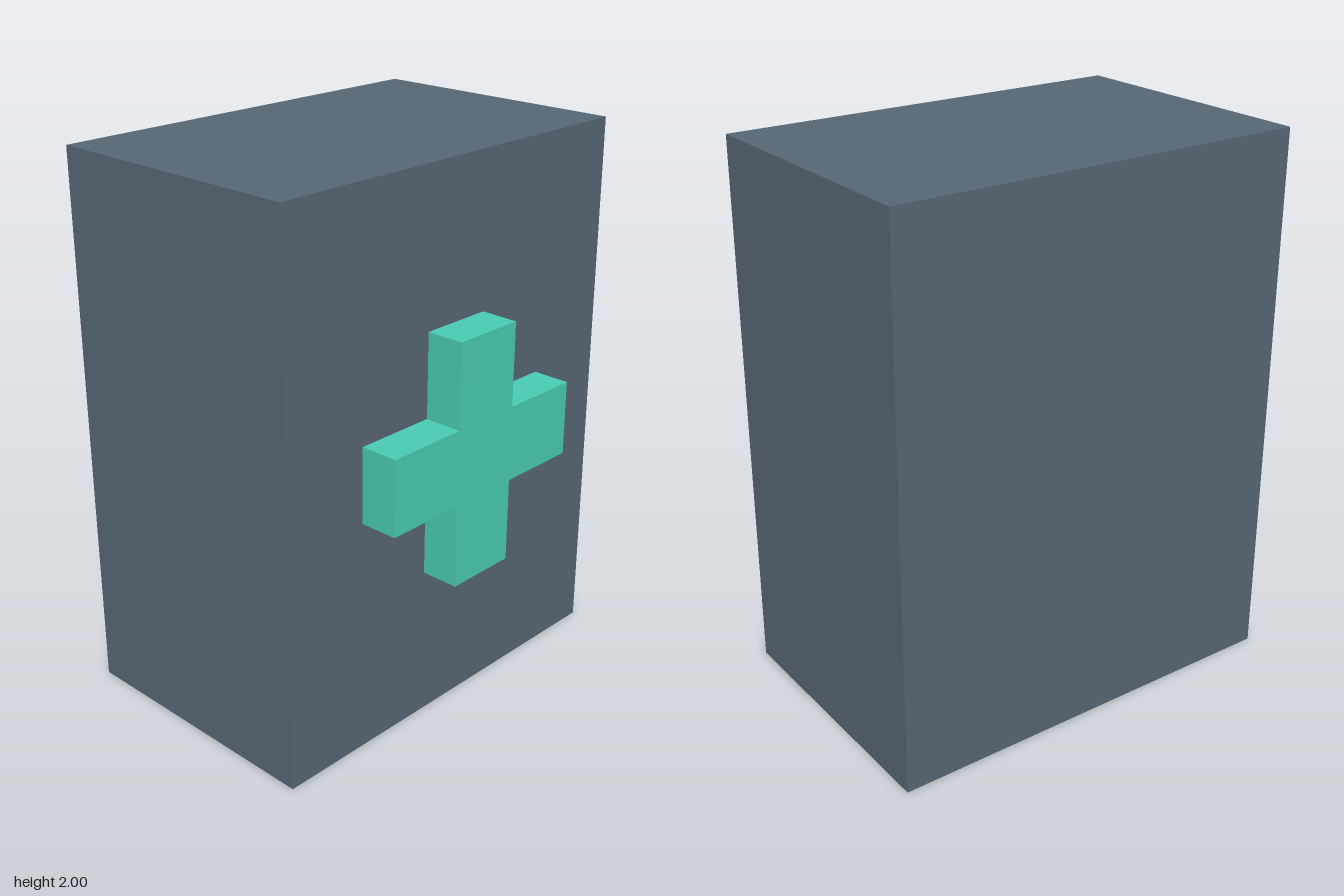
import * as THREE from 'three';

export function createModel() {
  const model = new THREE.Group();
  model.name = 'cabinet';

  const slate = new THREE.MeshStandardMaterial({ color: 0x566573 });
  slate.name = 'slate grey';
  const teal = new THREE.MeshStandardMaterial({ color: 0x48c9b0 });
  teal.name = 'teal green';

  // Cabinet body, set back so the emblem fits in the overall depth
  const body = new THREE.Mesh(new THREE.BoxGeometry(1.555, 2, 1), slate);
  body.name = 'cabinetBody';
  body.position.set(0, 1, -0.07);
  model.add(body);

  // Raised cross: one L-shaped notch outline turned through four quarters
  const reach = 0.443, half = 0.137;
  const points = [];
  for (let i = 0; i < 4; i++) {
    for (const [x, y] of [[reach, -half], [reach, half], [half, half]]) {
      points.push(new THREE.Vector2(x, y).rotateAround(new THREE.Vector2(), i * Math.PI / 2));
    }
  }
  const crossGeometry = new THREE.ExtrudeGeometry(new THREE.Shape(points), {
    depth: 0.14,
    bevelEnabled: false,
  });
  const cross = new THREE.Mesh(crossGeometry, teal);
  cross.name = 'frontCross';
  cross.position.set(0, 1.003, 0.43);
  model.add(cross);

  return model;
}
